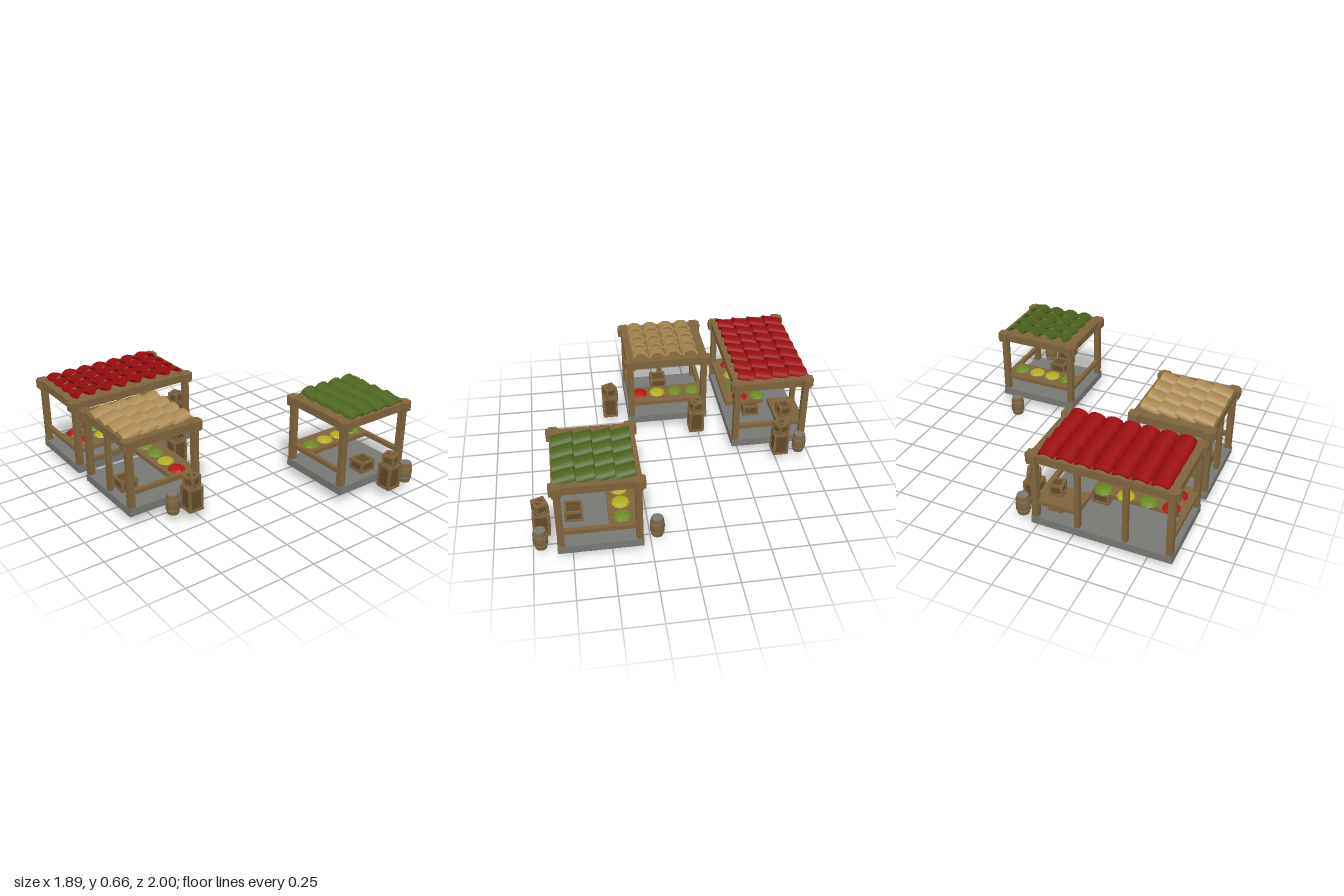
import * as THREE from 'three';

const mat = (name, color) => {
  const m = new THREE.MeshStandardMaterial({ color, flatShading: true });
  m.name = name;
  return m;
};

export function createModel() {
  const M = {
    wood: mat('wood', 0x7f643d),
    darkWood: mat('dark wood', 0x624a2a),
    stone: mat('stone', 0x777873),
    red: mat('red tile', 0x9a0d10),
    green: mat('green tile', 0x4c631d),
    tan: mat('tan tile', 0xa98750),
    redFruit: mat('red produce', 0xb01814),
    yellowFruit: mat('yellow produce', 0xb3ab22),
    greenFruit: mat('green produce', 0x6c8a26),
  };
  const model = new THREE.Group();
  model.name = 'market';

  const add = (parent, name, geo, material, x, y, z) => {
    const m = new THREE.Mesh(geo, material);
    m.name = name;
    m.position.set(x, y, z);
    parent.add(m);
    return m;
  };
  const box = (parent, name, material, w, h, d, x, y, z) =>
    add(parent, name, new THREE.BoxGeometry(w, h, d), material, x, y, z);

  // Framed crate standing on height y
  function crate(parent, x, y, z, w, h, turn = 0) {
    const g = new THREE.Group();
    g.name = 'crate';
    g.position.set(x, y, z);
    g.rotation.y = turn;
    parent.add(g);
    const t = 0.016, e = (w - t) / 2;
    box(g, 'cratePanels', M.darkWood, w - 0.014, h - 0.012, w - 0.014, 0, h / 2, 0);
    for (const s of [-1, 1]) {
      for (const r of [-1, 1]) box(g, 'crateCorner', M.wood, t, h, t, s * e, h / 2, r * e);
      for (const yy of [t / 2, h - t / 2]) {
        box(g, 'crateEdge', M.wood, w - 2 * t, t, t, 0, yy, s * e);
        box(g, 'crateEdge', M.wood, t, t, w - 2 * t, s * e, yy, 0);
      }
    }
    return g;
  }

  // Tall crate with a smaller turned crate on top
  function crateStack(x, z, turn) {
    crate(model, x, 0.07, z, 0.108, 0.168);
    const top = crate(model, x, 0.238, z, 0.086, 0.076, turn);
    box(top, 'crateBrace', M.wood, 0.1, 0.006, 0.014, 0, 0.073, 0).rotation.y = Math.PI / 4;
  }

  // Barrel with metal hoops and lid
  function barrel(x, y, z) {
    const g = new THREE.Group();
    g.name = 'barrel';
    g.position.set(x, y, z);
    model.add(g);
    const profile = [[0, 0], [0.038, 0], [0.046, 0.035], [0.049, 0.07], [0.046, 0.105], [0.039, 0.14], [0.035, 0.14], [0.035, 0.134], [0, 0.134]];
    add(g, 'barrelBody', new THREE.LatheGeometry(profile.map(p => new THREE.Vector2(...p)), 14), M.wood, 0, 0, 0);
    for (const yy of [0.035, 0.105])
      add(g, 'barrelHoop', new THREE.CylinderGeometry(0.0475, 0.0475, 0.01, 14), M.stone, 0, yy, 0);
    add(g, 'barrelLid', new THREE.CylinderGeometry(0.0355, 0.0355, 0.004, 14), M.stone, 0, 0.137, 0);
  }

  // Half-round roof tile, running along z
  const arch = new THREE.Shape();
  arch.absarc(0, 0, 0.059, 0, Math.PI, false);
  arch.absarc(0, 0, 0.043, Math.PI, 0, true);
  const tileGeo = new THREE.ExtrudeGeometry(arch, { depth: 0.135, bevelEnabled: false, curveSegments: 7 });
  tileGeo.translate(0, 0, -0.0675);
  tileGeo.scale(1, 0.72, 1);
  tileGeo.rotateX(-0.23);

  // Low mound of produce
  const moundGeo = new THREE.SphereGeometry(0.06, 9, 3, 0, Math.PI * 2, 0, Math.PI / 2);
  moundGeo.scale(1, 0.4, 1);

  // Stall whose customer side faces its own +z
  function stall(o) {
    const { w, d, roof } = o;
    const g = new THREE.Group();
    g.name = o.name;
    g.position.set(o.x, 0, o.z);
    g.rotation.y = o.turn;
    model.add(g);
    const px = w / 2 - 0.025, pz = d / 2 - 0.025;

    box(g, 'stoneBase', M.stone, w, 0.055, d, 0, 0.1, 0);

    // Corner posts, beam caps and roof frame
    for (const s of [-1, 1]) {
      for (const r of [-1, 1]) {
        box(g, 'cornerPost', M.wood, 0.042, 0.42, 0.042, s * px, 0.335, r * pz);
        box(g, 'beamCapAlong', M.wood, 0.085, 0.062, 0.056, s * (px + 0.003), 0.573, r * pz);
        box(g, 'beamCapAcross', M.wood, 0.056, 0.062, 0.085, s * px, 0.573, r * (pz + 0.003));
      }
      box(g, 'longBeam', M.wood, w, 0.055, 0.05, 0, 0.573, s * pz);
      box(g, 'sideBeam', M.wood, 0.05, 0.055, d, s * px, 0.573, 0);
      box(g, 'sideRail', M.wood, 0.03, 0.03, 2 * pz, s * px, 0.233, 0);
    }
    for (const x of o.backPosts) box(g, 'backPost', M.wood, 0.034, 0.42, 0.034, x, 0.335, -pz);

    // Roof deck with coloured underside
    box(g, 'roofDeck', M.wood, 2 * px, 0.008, 2 * pz, 0, 0.592, 0);
    box(g, 'roofLining', roof, 2 * px, 0.006, 2 * pz, 0, 0.585, 0);

    // Rows of tilted tiles, high end toward the customer
    for (let i = 0; i < o.columns; i++)
      for (let j = 0; j < 4; j++)
        add(g, 'roofTile', tileGeo, roof, o.tileX + (i - (o.columns - 1) / 2) * 0.1205, 0.602, o.tileZ + (j - 1.5) * 0.12);

    // Counter and produce
    const [c0, c1] = o.counter;
    box(g, 'counter', M.wood, c1 - c0, 0.028, o.counterDepth, (c0 + c1) / 2, 0.234, pz - o.counterDepth / 2 + 0.015);
    o.goods.forEach((row, r) => row.forEach((m, i) =>
      add(g, 'produce', moundGeo, m, o.goodsX + (i - 1.5) * o.goodsStep, 0.247, 0.145 - r * 0.135)));
    return g;
  }

  const { redFruit: R, yellowFruit: Y, greenFruit: G } = M;

  const redStall = stall({
    name: 'redStall', x: -0.463, z: -0.713, turn: 0, w: 0.935, d: 0.54, roof: M.red,
    backPosts: [-0.157, 0.157], columns: 7, tileX: 0, tileZ: -0.005,
    counter: [-0.445, 0.16], counterDepth: 0.28, goodsX: -0.13, goodsStep: 0.15,
    goods: [[R, Y, G, R], [R, G, Y, G]],
  });
  // Back shelf with crates above and below
  box(redStall, 'backShelf', M.wood, 0.3, 0.028, 0.2, 0.3, 0.234, -0.155);
  crate(redStall, 0.348, 0.248, -0.127, 0.09, 0.08, 0.15);
  crate(redStall, 0.348, 0.127, -0.127, 0.1, 0.08);
  crate(redStall, 0.12, 0.127, 0.07, 0.12, 0.08);

  const tanStall = stall({
    name: 'tanStall', x: -0.66, z: -0.03, turn: Math.PI / 2, w: 0.59, d: 0.54, roof: M.tan,
    backPosts: [0], columns: 4, tileX: -0.01, tileZ: -0.008,
    counter: [-0.275, 0.275], counterDepth: 0.2, goodsX: 0, goodsStep: 0.133,
    goods: [[R, Y, G, G]],
  });
  crate(tanStall, -0.025, 0.127, -0.145, 0.12, 0.08);

  const greenStall = stall({
    name: 'greenStall', x: 0.626, z: 0.573, turn: Math.PI, w: 0.59, d: 0.54, roof: M.green,
    backPosts: [], columns: 4, tileX: -0.018, tileZ: -0.007,
    counter: [-0.275, 0.275], counterDepth: 0.2, goodsX: 0, goodsStep: 0.13,
    goods: [[G, Y, Y, G]],
  });
  crate(greenStall, -0.015, 0.127, -0.155, 0.12, 0.08);

  crateStack(0.09, -0.77, 0.4);
  crateStack(-0.265, -0.22, 0.3);
  crateStack(-0.545, 0.395, 0.4);
  crateStack(0.69, 0.935, 0.35);

  barrel(0.1, 0.07, -0.91);
  barrel(-0.675, 0.07, 0.37);
  barrel(0.835, 0.07, 0.945);
  barrel(0.75, 0, 0.2);

  return model;
}
